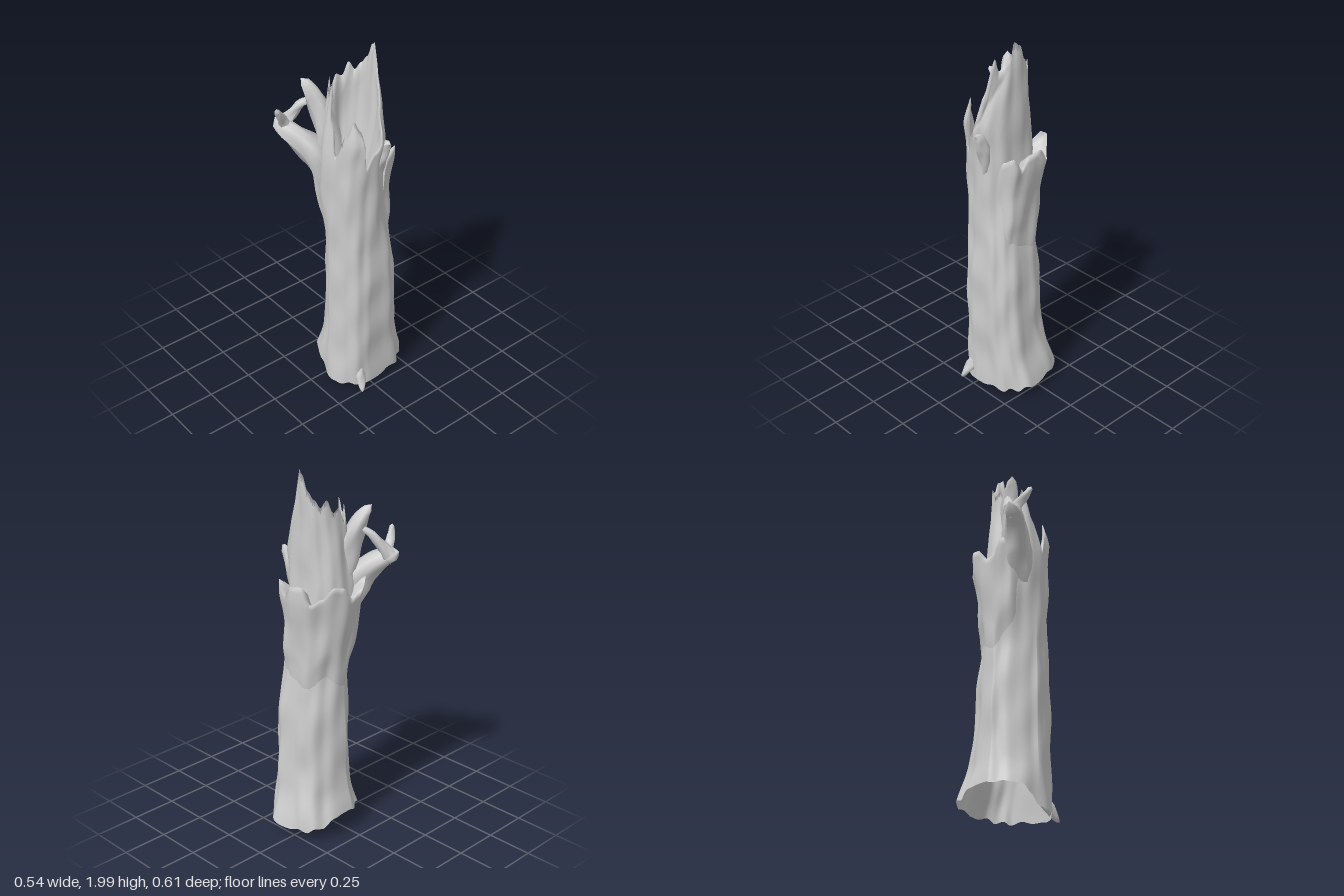
import * as THREE from 'three';

const material = new THREE.MeshStandardMaterial({ color: 0xcccccc, side: THREE.DoubleSide });
const { lerp, clamp, smoothstep } = THREE.MathUtils;
const AXIS_X = 0.04;

// Trunk outline by height: y, min x, max x, min z, max z
const trunkRows = [
  [0, -0.19, 0.22, -0.3, 0.165], [0.12, -0.18, 0.22, -0.28, 0.16], [0.25, -0.15, 0.22, -0.245, 0.15],
  [0.4, -0.14, 0.225, -0.225, 0.145], [0.7, -0.135, 0.225, -0.21, 0.145], [0.9, -0.125, 0.21, -0.18, 0.145],
  [1.1, -0.13, 0.21, -0.155, 0.15], [1.3, -0.14, 0.215, -0.14, 0.155], [1.45, -0.125, 0.225, -0.13, 0.15],
  [1.55, -0.11, 0.245, -0.13, 0.14], [1.7, -0.09, 0.2, -0.13, 0.11], [1.85, -0.08, 0.145, -0.13, 0.08],
  [2, -0.07, 0.13, -0.13, 0.05],
];
// Loose bark layer around the back and the -x side
const barkRows = [
  [0.75, -0.13, 0.21, -0.2, 0.13], [0.98, -0.14, 0.205, -0.19, 0.145], [1.2, -0.165, 0.215, -0.195, 0.155],
  [1.35, -0.185, 0.215, -0.22, 0.17], [1.5, -0.2, 0.22, -0.215, 0.19],
];
// Heights every 15 degrees, from the front (+z) round by +x
const rim = [1.64, 1.47, 1.6, 1.68, 1.63, 1.43, 1.52, 1.62, 1.73, 1.8, 1.89, 2,
  1.98, 1.9, 1.86, 1.82, 1.86, 1.79, 1.81, 1.74, 1.82, 1.78, 1.76, 1.83];
const base = [0.03, 0.025, 0.02, 0.03, 0.02, 0.01, 0.02, 0.05, 0.04, 0.06, 0.05, 0.08,
  0.06, 0.08, 0.07, 0.1, 0.09, 0.13, 0.14, 0.13, 0.14, 0.13, 0.13, 0.09];
const barkRim = [1.4, 1.3, 1.3, 1.3, 1.3, 1.3, 1.3, 1.3, 1.3, 1.4, 1.43, 1.36,
  1.42, 1.43, 1.35, 1.38, 1.44, 1.43, 1.36, 1.38, 1.45, 1.46, 1.42, 1.4];

function around(table, angle) {
  const t = (((angle / (Math.PI * 2)) % 1) + 1) % 1 * table.length;
  const i = Math.floor(t) % table.length;
  const f = t - Math.floor(t);
  return lerp(table[i], table[(i + 1) % table.length], f * f * (3 - 2 * f));
}

// How round each quarter is: small is square, large is cut off
function cornerPower(s, c, y) {
  const upper = smoothstep(y, 0.85, 1.2);
  if (c > 0) return s > 0 ? 0.92 : lerp(lerp(0.95, 1.5, smoothstep(y, 0.05, 0.4)), 0.88, upper);
  return s > 0 ? lerp(0.58, 0.88, upper) : lerp(0.55, 0.9, smoothstep(y, 0, 0.5));
}

// Surface point: uneven oval section with grain ridges and lumps
function point(rows, angle, y, scale = 1) {
  let i = 0;
  while (i < rows.length - 2 && y > rows[i + 1][0]) i++;
  const a = rows[i], b = rows[i + 1];
  const t = clamp((y - a[0]) / (b[0] - a[0]), 0, 1);
  const [x0, x1, z0, z1] = [1, 2, 3, 4].map((k) => lerp(a[k], b[k], t));
  const s = Math.sin(angle), c = Math.cos(angle);
  const power = cornerPower(s, c, y);
  const grain = 0.022 * Math.sin(7 * angle + 1.5 * y) + 0.015 * Math.sin(13 * angle + 2 * Math.sin(3 * y));
  const lumps = 0.022 * Math.sin(3 * angle + 9 * y) * Math.sin(11 * y + 2 * angle)
    + 0.015 * Math.sin(5 * angle - 17 * y);
  const r = scale * (1 + grain + lumps);
  const x = Math.abs(s) ** power * (s > 0 ? x1 - AXIS_X : x0 - AXIS_X);
  const z = Math.abs(c) ** power * (c > 0 ? z1 : z0);
  return [AXIS_X + x * r, y, z * r];
}

// Grid of points at(row, column), optionally closed round
function gridMesh(name, rowCount, columns, closed, at) {
  const positions = [], index = [];
  const width = closed ? columns : columns + 1;
  for (let i = 0; i <= rowCount; i++) {
    for (let j = 0; j < width; j++) positions.push(...at(i, j / columns));
  }
  for (let i = 0; i < rowCount; i++) {
    for (let j = 0; j < columns; j++) {
      const k = (j + 1) % width;
      const a = i * width + j, b = i * width + k, c = a + width, d = b + width;
      index.push(a, b, d, a, d, c);
    }
  }
  const geometry = new THREE.BufferGeometry();
  geometry.setAttribute('position', new THREE.Float32BufferAttribute(positions, 3));
  geometry.setIndex(index);
  geometry.computeVertexNormals();
  const mesh = new THREE.Mesh(geometry, material);
  mesh.name = name;
  return mesh;
}

// Tapered, slightly knobbly limb along a path of [x, y, z, radius]
function limb(name, nodes) {
  const path = new THREE.CatmullRomCurve3(nodes.map((n) => new THREE.Vector3(n[0], n[1], n[2])));
  const rings = 18, sides = 10;
  const geometry = new THREE.TubeGeometry(path, rings, 1, sides, false);
  const position = geometry.attributes.position;
  const v = new THREE.Vector3();
  for (let i = 0; i <= rings; i++) {
    const center = path.getPointAt(i / rings);
    const t = path.getUtoTmapping(i / rings) * (nodes.length - 1);
    const k = Math.min(Math.floor(t), nodes.length - 2);
    const radius = lerp(nodes[k][3], nodes[k + 1][3], t - k);
    for (let j = 0; j <= sides; j++) {
      const n = i * (sides + 1) + j;
      const knob = 1 + 0.14 * Math.sin((j % sides) * 1.9 + i * 0.5);
      v.fromBufferAttribute(position, n).sub(center).multiplyScalar(radius * knob).add(center);
      position.setXYZ(n, v.x, v.y, v.z);
    }
  }
  geometry.computeVertexNormals();
  const mesh = new THREE.Mesh(geometry, material);
  mesh.name = name;
  return mesh;
}

export function createModel() {
  const group = new THREE.Group();
  group.name = 'brokenTrunk';

  // Trunk wall: up the outside, over the broken rim, down a steep hollow
  const outer = 48, inner = 12;
  group.add(gridMesh('trunk', outer + inner + 1, 120, true, (i, u) => {
    const angle = u * Math.PI * 2;
    const top = around(rim, angle);
    if (i <= outer) return point(trunkRows, angle, lerp(around(base, angle), top, i / outer));
    if (i > outer + inner) return [AXIS_X + 0.02, 1.26, 0];
    const t = (i - outer) / inner;
    return point(trunkRows, angle, lerp(top - 0.01, 1.28, t), 0.9 - 0.6 * t * t);
  }));

  // Bark layer: emerges from the trunk, ends in a ragged lip folded back inward
  const barkSteps = 18;
  group.add(gridMesh('looseBark', barkSteps + 2, 72, false, (i, u) => {
    const angle = lerp(2.2, 5.95, u);
    const top = around(barkRim, angle);
    const edge = Math.min(1, Math.min(u, 1 - u) * 8);
    const low = 0.82 + 0.06 * Math.sin(angle * 5);
    const y = lerp(low, top, Math.min(i / barkSteps, 1));
    const scale = (0.87 + 0.13 * edge) * (0.9 + 0.1 * Math.min(1, i / 6));
    const fold = Math.max(0, i - barkSteps);
    return point(barkRows, angle, y - 0.025 * fold, scale - 0.15 * fold);
  }));

  // Broad side branch with its forked end
  group.add(limb('branch', [[0, 1.15, 0.05, 0.05], [-0.05, 1.29, 0.09, 0.07], [-0.09, 1.41, 0.13, 0.077],
    [-0.15, 1.49, 0.185, 0.058], [-0.2, 1.53, 0.22, 0.047], [-0.25, 1.56, 0.235, 0.036], [-0.27, 1.57, 0.24, 0]]));
  group.add(limb('branchProng', [[-0.2, 1.51, 0.2, 0.035], [-0.2, 1.58, 0.24, 0.027],
    [-0.18, 1.63, 0.275, 0.02], [-0.165, 1.67, 0.3, 0.012], [-0.163, 1.68, 0.303, 0]]));
  group.add(limb('branchStub', [[-0.23, 1.55, 0.21, 0.035], [-0.2, 1.61, 0.175, 0.026],
    [-0.17, 1.66, 0.145, 0.02], [-0.13, 1.69, 0.11, 0.015]]));

  // Blunt splinters fused to the wall
  group.add(limb('frontSplinter', [[-0.04, 1.35, 0.06, 0.06], [-0.07, 1.55, 0.075, 0.06], [-0.1, 1.67, 0.095, 0.05],
    [-0.125, 1.75, 0.125, 0.036], [-0.15, 1.8, 0.15, 0.018], [-0.155, 1.81, 0.158, 0]]));
  group.add(limb('sideSplinter', [[0.17, 1.3, -0.04, 0.03], [0.21, 1.46, -0.055, 0.035],
    [0.245, 1.54, -0.06, 0.022], [0.268, 1.55, -0.06, 0]]));

  // Small root end at the foot
  group.add(limb('root', [[0.15, 0.18, 0.04, 0.03], [0.205, 0.08, 0.065, 0.03], [0.25, 0.02, 0.085, 0.012], [0.26, 0.01, 0.09, 0]]));
  return group;
}
